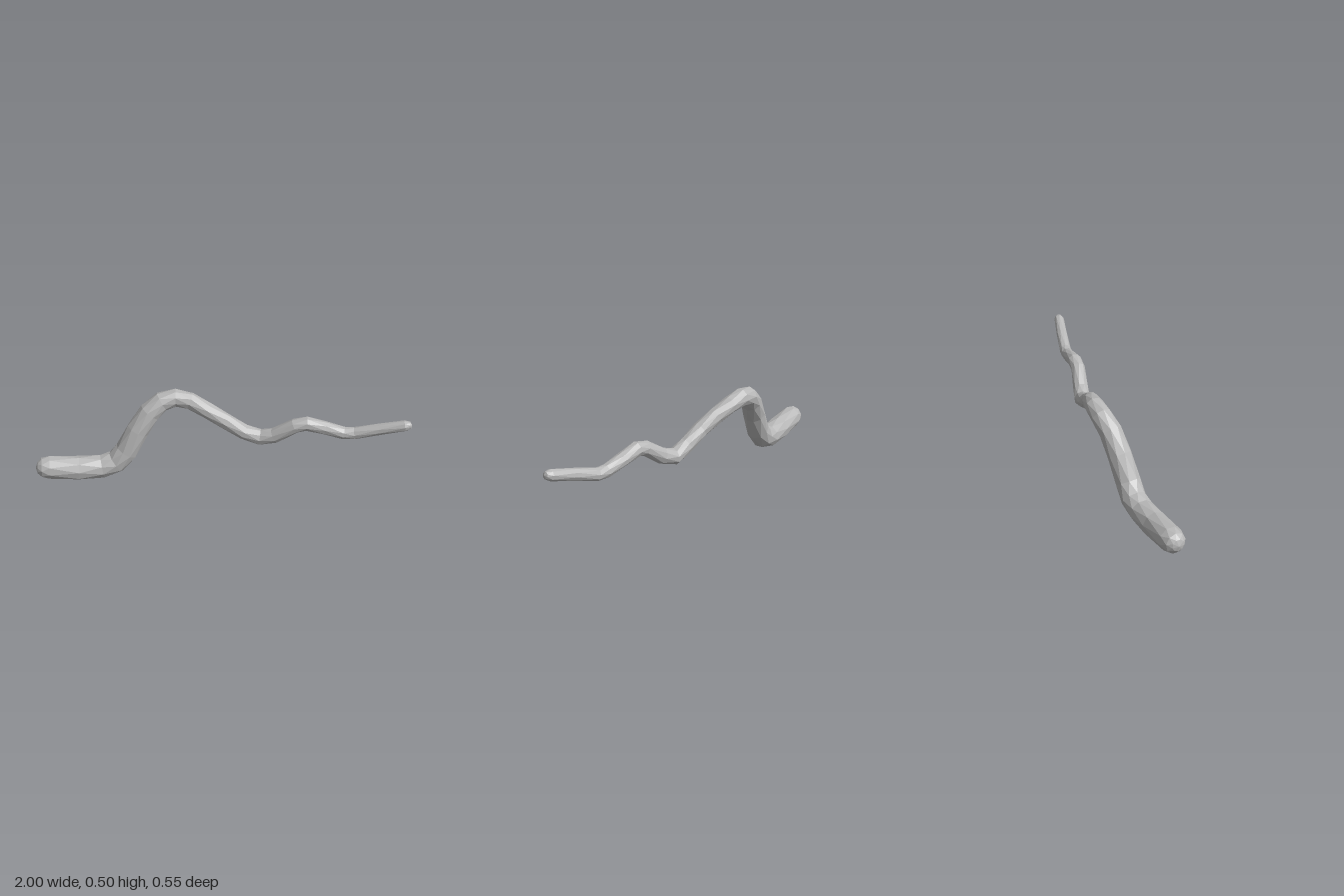
import * as THREE from 'three';

// Path of the body: centre x, y, z and radius; a zero radius closes an end
const PATH = [
  [-0.999, 0.1, 0.24, 0], [-0.99, 0.1, 0.237, 0.031], [-0.97, 0.098, 0.228, 0.053],
  [-0.93, 0.095, 0.21, 0.063], [-0.78, 0.075, 0.152, 0.066], [-0.66, 0.072, 0.1, 0.064],
  [-0.585, 0.098, 0.068, 0.064], [-0.53, 0.165, 0.043, 0.063], [-0.47, 0.29, 0.006, 0.061],
  [-0.41, 0.39, -0.036, 0.058], [-0.35, 0.445, -0.075, 0.054], [-0.28, 0.463, -0.105, 0.049],
  [-0.2, 0.445, -0.117, 0.046], [-0.1, 0.4, -0.117, 0.044], [0, 0.345, -0.116, 0.043],
  [0.1, 0.285, -0.13, 0.042], [0.19, 0.25, -0.147, 0.044], [0.27, 0.275, -0.15, 0.042],
  [0.38, 0.35, -0.16, 0.039], [0.44, 0.365, -0.175, 0.039], [0.54, 0.34, -0.195, 0.036],
  [0.64, 0.313, -0.212, 0.034], [0.7, 0.314, -0.222, 0.033], [0.83, 0.354, -0.235, 0.031],
  [0.965, 0.392, -0.247, 0.029], [0.992, 0.399, -0.25, 0.018], [0.999, 0.401, -0.251, 0],
];
const SIDES = 9;

// Skins rings set square to the path, every second one turned by half a step
function taperedTube(path, sides) {
  const centres = path.map(([x, y, z]) => new THREE.Vector3(x, y, z));
  const last = path.length - 1;
  const normal = new THREE.Vector3(0, 1, 0);
  const positions = [];
  const index = [];

  centres.forEach((centre, i) => {
    const tangent = centres[Math.min(i + 1, last)].clone()
      .sub(centres[Math.max(i - 1, 0)]).normalize();
    normal.addScaledVector(tangent, -normal.dot(tangent)).normalize();
    const binormal = tangent.clone().cross(normal);
    const radius = path[i][3] * 1.03;
    for (let j = 0; j < sides; j++) {
      const angle = ((j + (i % 2) / 2) / sides) * Math.PI * 2;
      const p = centre.clone()
        .addScaledVector(normal, Math.cos(angle) * radius)
        .addScaledVector(binormal, Math.sin(angle) * radius);
      positions.push(p.x, p.y, p.z);
    }
  });

  for (let i = 0; i < last; i++) {
    for (let j = 0; j < sides; j++) {
      const k = (j + 1) % sides;
      const a = i * sides + j, b = i * sides + k;
      const c = a + sides, d = b + sides;
      const odd = i % 2 === 1;
      if (path[i][3] > 0) index.push(a, b, odd ? d : c);
      if (path[i + 1][3] > 0) index.push(odd ? a : b, d, c);
    }
  }

  const geometry = new THREE.BufferGeometry();
  geometry.setAttribute('position', new THREE.Float32BufferAttribute(positions, 3));
  geometry.setIndex(index);
  const faceted = geometry.toNonIndexed();
  faceted.computeVertexNormals();
  return faceted;
}

export function createModel() {
  const group = new THREE.Group();
  group.name = 'windingTube';

  const grey = new THREE.MeshStandardMaterial({ color: 0xb8b8b8, flatShading: true });
  grey.name = 'grey';

  // One winding body, thick at the left end of the front and thin at the tip
  const body = new THREE.Mesh(taperedTube(PATH, SIDES), grey);
  body.name = 'body';
  group.add(body);
  return group;
}
